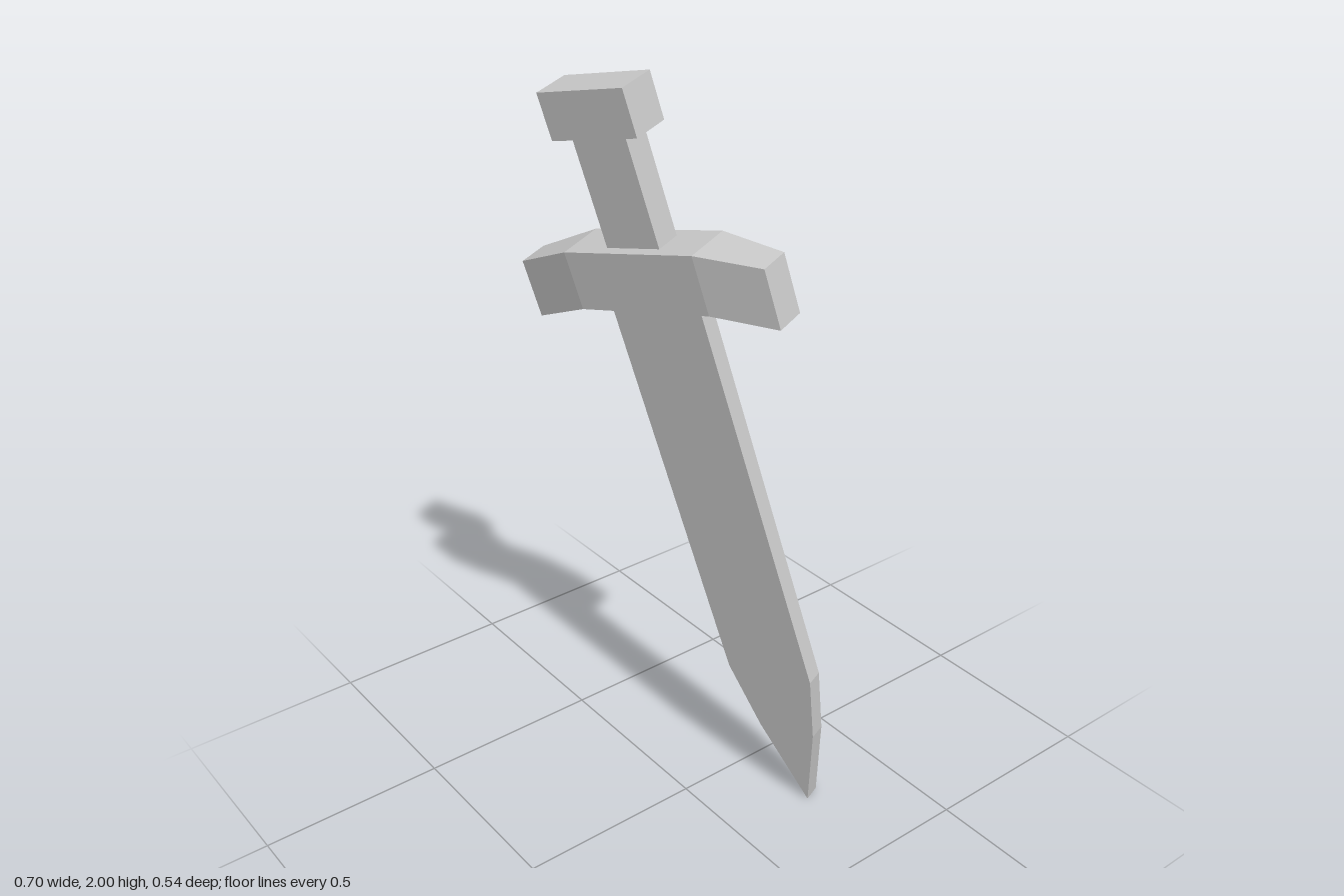
import * as THREE from 'three';

export function createModel() {
  const model = new THREE.Group();
  model.name = 'sword';
  const material = new THREE.MeshStandardMaterial({ color: 0xcccccc, flatShading: true });

  // Built upright with the pommel top at the local origin, then tilted.
  const sword = new THREE.Group();
  sword.name = 'tiltedSword';
  model.add(sword);

  const add = (name, geometry, y = 0) => {
    const mesh = new THREE.Mesh(geometry, material);
    mesh.name = name;
    mesh.position.y = y;
    sword.add(mesh);
  };

  // Pommel block and grip
  add('pommel', new THREE.BoxGeometry(0.24, 0.11, 0.098), -0.055);
  add('grip', new THREE.BoxGeometry(0.15, 0.36, 0.067), -0.26);

  // Crossguard: straight middle, ends drooping and thinning
  const guard = new THREE.BoxGeometry(3, 0.145, 0.121, 3, 1, 1);
  const p = guard.attributes.position;
  for (let i = 0; i < p.count; i++) {
    const x = p.getX(i);
    const isEnd = Math.abs(x) > 1;
    p.setX(i, Math.sign(x) * (isEnd ? 0.348 : 0.183));
    if (isEnd) {
      p.setY(i, p.getY(i) - 0.037);
      p.setZ(i, p.getZ(i) * 0.65);
    }
  }
  guard.computeVertexNormals();
  add('crossguard', guard, -0.372 - 0.0725);

  // Blade: half outline mirrored, extruded to a flat plate
  const half = [[0.128, -0.47], [0.128, -1.596], [0.084, -1.79]];
  const outline = [
    ...half.map(([x, y]) => [-x, y]),
    [0, -2.036],
    ...half.slice().reverse(),
  ].map(([x, y]) => new THREE.Vector2(x, y));
  const thickness = 0.044;
  const blade = new THREE.ExtrudeGeometry(new THREE.Shape(outline), {
    depth: thickness, bevelEnabled: false,
  });
  blade.translate(0, 0, -thickness / 2);
  add('blade', blade);

  // Tilt: long axis up, width axis across, thickness axis forward
  const up = new THREE.Vector3(-0.151, 0.964, 0.218).normalize();
  const across = new THREE.Vector3(0.944, 0.205, -0.255);
  across.addScaledVector(up, -across.dot(up)).normalize();
  const forward = new THREE.Vector3().crossVectors(across, up);
  sword.quaternion.setFromRotationMatrix(new THREE.Matrix4().makeBasis(across, up, forward));
  sword.position.set(-0.078, 1.967, 0.188);

  return model;
}
